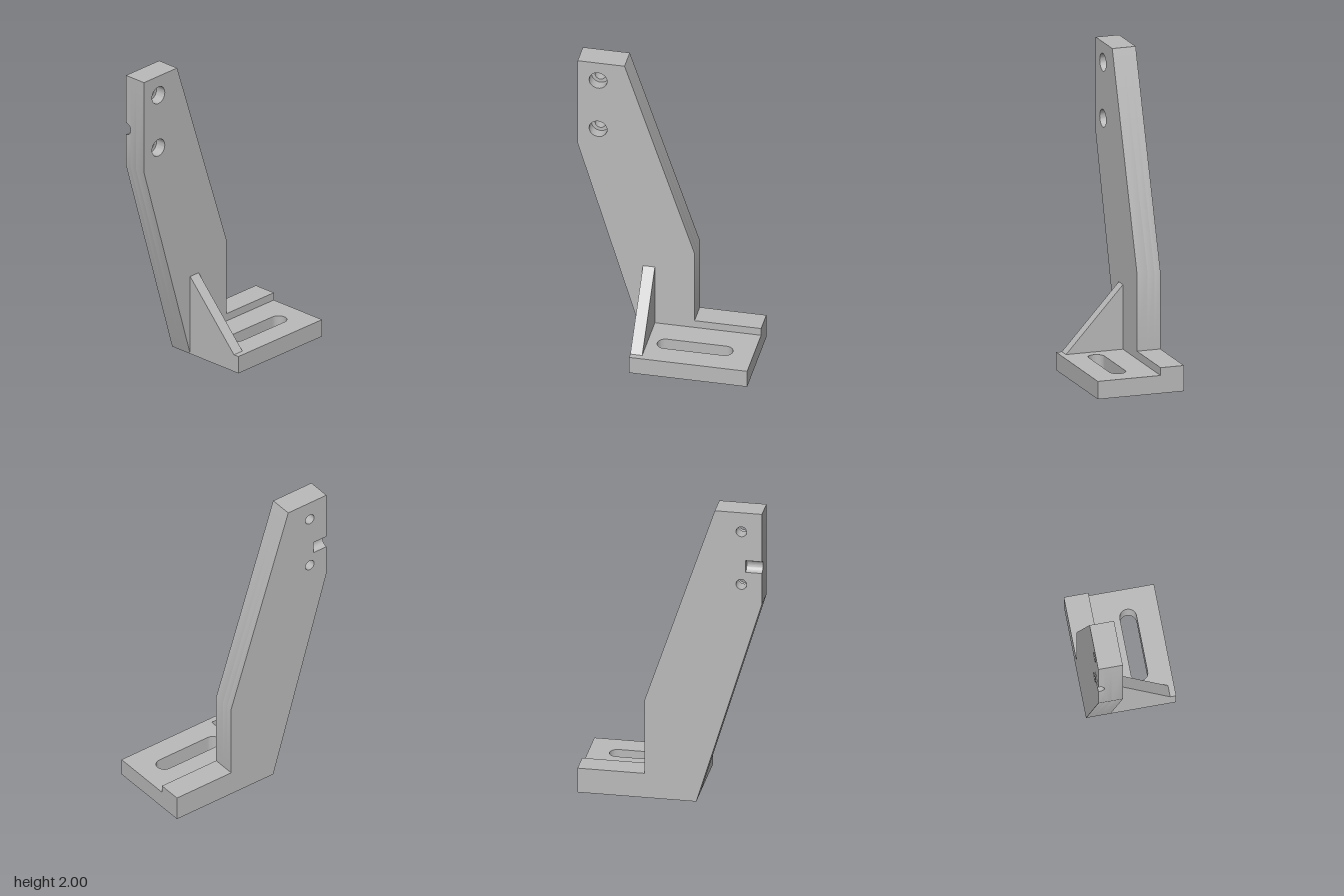
import * as THREE from 'three';
import { toCreasedNormals } from 'three/addons/utils/BufferGeometryUtils.js';

const polygon = (pts) => new THREE.Shape(pts.map(([x, y]) => new THREE.Vector2(x, y)));

function extrude(shape, depth) {
  return new THREE.ExtrudeGeometry(shape, { depth, bevelEnabled: false, curveSegments: 24 });
}

export function createModel() {
  const group = new THREE.Group();
  const metal = new THREE.MeshStandardMaterial({ color: 0xbababa });
  metal.name = 'grey metal';

  const add = (name, geometry, parent = group) => {
    const mesh = new THREE.Mesh(toCreasedNormals(geometry, 0.5), metal);
    mesh.name = name;
    parent.add(mesh);
  };

  const outer = -0.285, notchX = -0.245, boreX = -0.2, inner = -0.13;
  const front = 0.583, footFront = 0.168;
  const notchY = 1.635, notchR = 0.04, notchZ = 0.48;

  // Upright: side profile (u = -z, v = y) in layers across x
  const upright = new THREE.Group();
  upright.name = 'upright';
  group.add(upright);

  const layer = (name, x0, x1, holeRadius, notched) => {
    const notch = notched ? [
      [-front, notchY + notchR], [-notchZ, notchY + notchR],
      [-notchZ, notchY - notchR], [-front, notchY - notchR],
    ] : [];
    const shape = polygon([
      [-footFront, 0], [front, 0], [front, 0.165], [0.16, 0.165], [0.16, 0.665],
      [-0.285, 2], [-front, 2], ...notch, [-front, 1.385],
    ]);
    for (const y of [1.51, 1.87]) {
      shape.holes.push(new THREE.Path().absarc(-0.453, y, holeRadius, 0, Math.PI * 2, true));
    }
    const geometry = extrude(shape, x1 - x0);
    geometry.rotateY(Math.PI / 2).translate(x0, 0, 0);
    add(name, geometry, upright);
  };
  layer('notchedLayer', outer, notchX, 0.034, true);
  layer('middleLayer', notchX, boreX, 0.034, false);
  layer('counterboredLayer', boreX, inner, 0.057, false);

  // Rounded walls of the half-round notch
  const walls = new THREE.Shape();
  walls.moveTo(outer, notchY - notchR);
  walls.lineTo(notchX, notchY - notchR);
  walls.lineTo(notchX, notchY + notchR);
  walls.lineTo(outer, notchY + notchR);
  walls.absarc(outer, notchY, notchR, Math.PI / 2, -Math.PI / 2, true);
  add('notchWalls', extrude(walls, front - notchZ).translate(0, 0, notchZ), upright);

  // Foot plate with a long slot (shape y = -z)
  const foot = polygon([[inner, -footFront], [0.285, -footFront], [0.285, front], [inner, front]]);
  const slot = new THREE.Path();
  const slotX = 0.0875, slotR = 0.0525;
  slot.absarc(slotX, 0.398, slotR, 0, Math.PI, false);
  slot.absarc(slotX, 0.022, slotR, Math.PI, Math.PI * 2, false);
  slot.closePath();
  foot.holes.push(slot);
  add('footPlate', extrude(foot, 0.115).rotateX(-Math.PI / 2));

  // Triangular brace between the upright and the foot
  const brace = polygon([[inner, 0.115], [0.247, 0.115], [inner, 0.53]]);
  add('brace', extrude(brace, footFront - 0.092).translate(0, 0, 0.092));

  return group;
}
